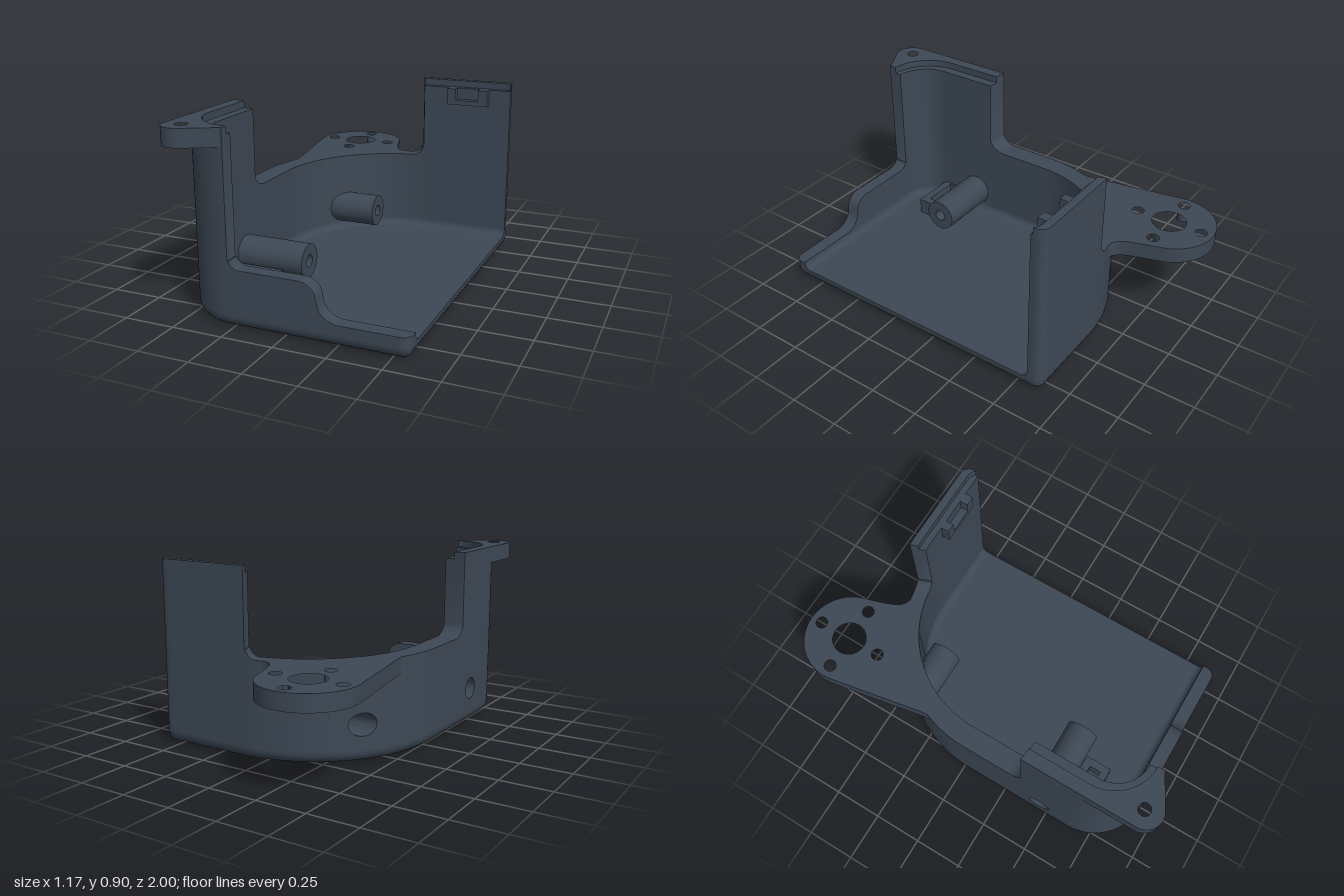
import * as THREE from 'three';
import { toCreasedNormals, mergeGeometries } from 'three/addons/utils/BufferGeometryUtils.js';

const PI = Math.PI;
const BORE = 0.055, BORE_Y = 0.185, BORE_Z = [0.46, -0.385];
const FLOOR = 0.07, TALL = 0.87;

const line = (x0, z0, x1, z1) => u => [x0 + (x1 - x0) * u, z0 + (z1 - z0) * u];
const arc = (cx, cz, r, a0, a1) => u => {
  const a = (a0 + (a1 - a0) * u) * PI / 180;
  return [cx + r * Math.cos(a), cz + r * Math.sin(a)];
};

// Wall plan as matched outer / inner points, front right corner round to back right.
// d insets the outer line, e insets the inner line.
function plan(d = 0, e = 0) {
  const r = Math.max(0.045 - d, 0.002), x = 0.585 - d, c = x - r;
  const f = 0.91 - d, b = -0.64 + d, l = -0.54 + d;
  const fi = 0.84 - e, bi = -0.57 + e, li = -0.43 + e;
  const segments = [
    [8, arc(c, f - r, r, 0, 90), line(0.585, fi, 0.54, fi)],
    [160, line(c, f, -0.26, f), line(0.54, fi, -0.26, fi)],
    [48, arc(-0.26, 0.63, 0.28 - d, 90, 180), arc(-0.26, 0.67, 0.17 - e, 90, 180)],
    [120, line(l, 0.63, l, 0.03), line(li, 0.67, li, 0.01)],
    [200, arc(0.13, 0.03, 0.67 - d, 180, 270), arc(0.15, 0.01, 0.58 - e, 180, 270)],
    [40, line(0.13, b, c, b), line(0.15, bi, 0.54, bi)],
    [8, arc(c, b + r, r, 270, 360), line(0.54, bi, 0.585, bi)],
  ];
  const out = [];
  segments.forEach(([n, o, i], k) => {
    for (let j = k ? 1 : 0; j <= n; j++) out.push({ o: o(j / n), i: i(j / n) });
  });
  return out;
}

// Height of the wall's rim above a plan point
function rim([x, z]) {
  const dip = (y, r, t) => y - Math.sqrt(Math.max(0, r * r - t * t));
  if (z > 0.85 && x > -0.2599) {
    if (x < -0.2) return dip(0.34, 0.06, x + 0.2);
    if (x < 0.08) return 0.28;
    if (x < 0.165) return 0.2 + 0.08 * Math.sqrt(1 - ((x - 0.08) / 0.085) ** 2);
    if (x < 0.27) return 0.2 - 0.09 * Math.sqrt(1 - ((x - 0.27) / 0.105) ** 2);
    return 0.11;
  }
  if (z > 0.2) return z > 0.3499 ? TALL : z > 0.27 ? dip(0.56, 0.08, z - 0.27) : 0.48;
  return x >= 0.08 ? TALL : x > 0.02 ? dip(0.54, 0.06, x - 0.02) : 0.48;
}

// Collects triangles, then smooths all but sharp edges
function builder() {
  const p = [];
  const tri = (a, b, c) => p.push(...a, ...b, ...c);
  const quad = (a, b, c, d) => { tri(a, b, c); tri(a, c, d); };
  const done = () => {
    const g = new THREE.BufferGeometry();
    g.setAttribute('position', new THREE.Float32BufferAttribute(p, 3));
    return toCreasedNormals(g, 0.5);
  };
  return { tri, quad, done };
}
const at = ([x, z], y) => [x, y, z];

// Upright wall over plan columns, pierced by the screw bores
function wallGeometry(cols, outBase, inBase) {
  const { quad, done } = builder();
  const gap = ([x, z], t) => {
    let h = 0;
    if (x < -0.05) for (const c of BORE_Z) h = Math.max(h, BORE ** 2 - (z - c) ** 2);
    h = Math.sqrt(h);
    return [Math.min(BORE_Y - h, t), Math.min(BORE_Y + h, t)];
  };
  const side = (p, q, tp, tq, base, flip) => {
    const pierced = base < BORE_Y;
    const [pl, ph] = pierced ? gap(p, tp) : [base, base];
    const [ql, qh] = pierced ? gap(q, tq) : [base, base];
    for (const [a, b, c, d] of [[base, base, ql, pl], [ph, qh, tq, tp]]) {
      const v = [at(p, a), at(q, b), at(q, c), at(p, d)];
      if (flip) v.reverse();
      quad(...v);
    }
  };
  for (let k = 1; k < cols.length; k++) {
    const a = cols[k - 1], b = cols[k];
    side(a.o, b.o, a.t, b.t, outBase, true);
    side(a.i, b.i, a.t, b.t, inBase, false);
    quad(at(a.o, a.t), at(a.i, a.t), at(b.i, b.t), at(b.o, b.t));
  }
  const s = cols[0], e = cols[cols.length - 1];
  quad(at(s.o, outBase), at(s.i, outBase), at(s.i, s.t), at(s.o, s.t));
  quad(at(e.i, outBase), at(e.o, outBase), at(e.o, e.t), at(e.i, e.t));
  return done();
}

// Floor slab with a rounded lower edge
function floorGeometry() {
  const { tri, quad, done } = builder(), R = 0.058, rings = [];
  for (let k = 0; k <= 6; k++) {
    const a = k / 6 * PI / 2;
    rings.push(plan(R * (1 - Math.sin(a))).map(c => at(c.o, 0.002 + R * (1 - Math.cos(a)))));
  }
  rings.push(plan().map(c => at(c.o, FLOOR)));
  const n = rings[0].length, top = rings[7], low = rings[0];
  for (let j = 0; j < n; j++) {
    const m = (j + 1) % n;
    for (let k = 0; k < 7; k++) quad(rings[k][j], rings[k + 1][j], rings[k + 1][m], rings[k][m]);
    tri([0.1, 0.002, 0.1], low[j], low[m]);
    tri([0.1, FLOOR, 0.1], top[m], top[j]);
  }
  return done();
}

// Concave fillet between floor and wall
function coveGeometry() {
  const { tri, quad, done } = builder(), R = 0.035, rings = [];
  for (let k = 0; k <= 6; k++) {
    const a = k / 6 * PI / 2;
    rings.push(plan(0, R * (1 - Math.sin(a))).map(c => at(c.i, FLOOR + R * (1 - Math.cos(a)))));
  }
  const base = plan().map(c => at(c.i, FLOOR)), n = base.length - 1;
  for (let k = 0; k < 6; k++) {
    for (let j = 0; j < n; j++) quad(rings[k][j], rings[k][j + 1], rings[k + 1][j + 1], rings[k + 1][j]);
    tri(base[0], rings[k][0], rings[k + 1][0]);
    tri(base[n], rings[k + 1][n], rings[k][n]);
  }
  return done();
}

// Hollow screw post whose root follows the curve of the wall
function postGeometry(zc) {
  const bend = (z, x, cx, cz, r) => z > cz ? x : cx - Math.sqrt(r * r - (z - cz) ** 2);
  const pts = [[0.083, -2], [0.083, -0.09], [0.03, -0.09], [0.03, -0.25], [BORE, -0.25], [BORE, -3]];
  const g = new THREE.LatheGeometry(pts.map(p => new THREE.Vector2(...p)), 40);
  g.rotateZ(-PI / 2).translate(0, BORE_Y, zc);
  const p = g.attributes.position;
  for (let k = 0; k < p.count; k++) {
    const z = p.getZ(k);
    if (p.getX(k) < -2.5) p.setX(k, bend(z, -0.54, 0.13, 0.03, 0.67));
    else if (p.getX(k) < -1.5) p.setX(k, bend(z, -0.43, 0.15, 0.01, 0.58) - 0.02);
  }
  return toCreasedNormals(g, 0.5);
}

// Plan shape (x, z) extruded downward from a top height
function plate(shape, top, depth) {
  const g = new THREE.ExtrudeGeometry(shape, { depth, bevelEnabled: false, curveSegments: 32 });
  return toCreasedNormals(g.rotateX(PI / 2).translate(0, top, 0), 0.5);
}
const hole = (shape, x, z, r) => shape.holes.push(new THREE.Path().absarc(x, z, r, 0, PI * 2, true));
const poly = pts => new THREE.Shape(pts.map(p => new THREE.Vector2(...p)));

export function createModel() {
  const model = new THREE.Group();
  const paint = (name, color) => Object.assign(new THREE.MeshStandardMaterial({ color }), { name });
  const slate = paint('slate shell', 0x3d4855);
  const copper = paint('copper print', 0xb0695a);
  const steel = paint('steel print', 0x71879b);
  const add = (name, geometry, material = slate) => {
    const m = new THREE.Mesh(geometry, material);
    m.name = name;
    model.add(m);
  };

  // Shell
  const cols = [];
  for (const { o, i } of plan()) {
    const t = rim(o), last = cols[cols.length - 1];
    if (last && Math.abs(t - last.t) > 0.1) cols.push({ o, i, t: last.t });
    cols.push({ o, i, t });
  }
  add('floor', floorGeometry());
  add('floorFillet', coveGeometry());
  add('wall', wallGeometry(cols, 0.06, 0.1));

  // Raised lips along the outside of the tall walls
  const mid = (a, b) => a.map((v, k) => v + (b[k] - v) * 0.45);
  const lip = test => cols.filter(c => c.t === TALL && test(c.o[1]))
    .map(c => ({ o: c.o, i: mid(c.i, c.o), t: 0.905 }));
  add('frontLip', wallGeometry(lip(z => z > 0), TALL, TALL));
  add('backLip', wallGeometry(lip(z => z < 0), TALL, TALL));

  // Screw posts
  BORE_Z.forEach((z, k) => add(k ? 'rearPost' : 'frontPost', postGeometry(z)));

  // Round mounting flange behind the shell
  const flange = new THREE.Shape();
  flange.moveTo(0.07, -0.637).lineTo(-0.02, -0.624);
  flange.bezierCurveTo(-0.08, -0.63, -0.095, -0.69, -0.141, -0.839);
  flange.absarc(-0.36, -0.77, 0.23, -0.305, -3.323, true);
  flange.lineTo(-0.5, -0.26).quadraticCurveTo(-0.485, -0.19, -0.521, -0.12);
  flange.absarc(0.14, 0.02, 0.625, 3.335, 4.6, false);
  hole(flange, -0.36, -0.77, 0.085);
  for (const [dx, dz] of [[1, 0], [-1, 0], [0, 1], [0, -1]]) hole(flange, -0.36 + 0.17 * dx, -0.77 + 0.17 * dz, 0.03);
  add('flange', plate(flange, 0.48, 0.08));

  // Screw ear at the front corner
  const ear = new THREE.Shape();
  ear.moveTo(-0.54, 0.5).lineTo(-0.54, 0.915);
  ear.absarc(-0.455, 0.915, 0.085, PI, 1.13, true);
  ear.lineTo(-0.26, 0.905).lineTo(-0.26, 0.885);
  ear.absarc(-0.26, 0.65, 0.235, PI / 2, PI, false);
  ear.lineTo(-0.495, 0.5);
  hole(ear, -0.455, 0.91, 0.03);
  add('ear', plate(ear, 0.905, 0.085));

  // Slotted clip on the back wall
  const box = (x0, x1, y0, y1) => new THREE.BoxGeometry(x1 - x0, y1 - y0, 0.045)
    .translate((x0 + x1) / 2, (y0 + y1) / 2, -0.5525);
  add('clip', mergeGeometries([box(0.25, 0.295, 0.785, TALL), box(0.42, 0.47, 0.785, TALL), box(0.295, 0.42, 0.785, 0.81)]));

  // Small socket on the floor
  const rect = (x0, x1, z0, z1) => poly([[x0, z0], [x1, z0], [x1, z1], [x0, z1]]);
  const socket = rect(-0.44, -0.19, 0.545, 0.685);
  socket.holes.push(rect(-0.42, -0.23, 0.585, 0.645));
  add('socket', plate(socket, 0.155, 0.09));

  // Printed underside: stacked chevrons with slanted traces
  const copperShapes = [], steelShapes = [];
  const sites = [[0.325, 0.07, 1], [-0.06, 0.12, 1], [-0.38, 0.135, 0], [0.15, -0.26, 1], [-0.24, -0.235, 1],
    [0.17, 0.45, 1], [-0.27, 0.47, 1], [0.3, 0.7, 1], [-0.06, 0.7, 1], [-0.34, 0.7, 0]];
  for (const [x, z, full] of sites) {
    const put = (list, pts) => list.push(poly(pts.map(([a, b]) => [x + a, z + b])));
    const trace = (list, a, b, l, w) => put(list, [[a, b], [a + l, b + l], [a + l, b + l + w], [a, b + w]]);
    if (full) for (let k = 0; k < 3; k++) {
      const b = -0.16 + 0.07 * k, a = 0.085;
      put(copperShapes, [[-a, b + a], [0, b], [a, b + a], [a, b + a + 0.04], [0, b + 0.04], [-a, b + a + 0.04]]);
    }
    for (let k = 0; k < 3; k++) trace(copperShapes, full ? 0.05 : -0.06, -0.13 + 0.04 * k, 0.1, 0.012);
    trace(steelShapes, full ? 0.06 : -0.06, -0.15, 0.1, 0.008);
    copperShapes.push(new THREE.Shape().absarc(x + (full ? 0.05 : -0.06), z - 0.12, 0.018, 0, PI * 2));
  }
  add('copperTraces', new THREE.ShapeGeometry(copperShapes).rotateX(PI / 2), copper);
  add('steelTraces', new THREE.ShapeGeometry(steelShapes).rotateX(PI / 2), steel);
  return model;
}
